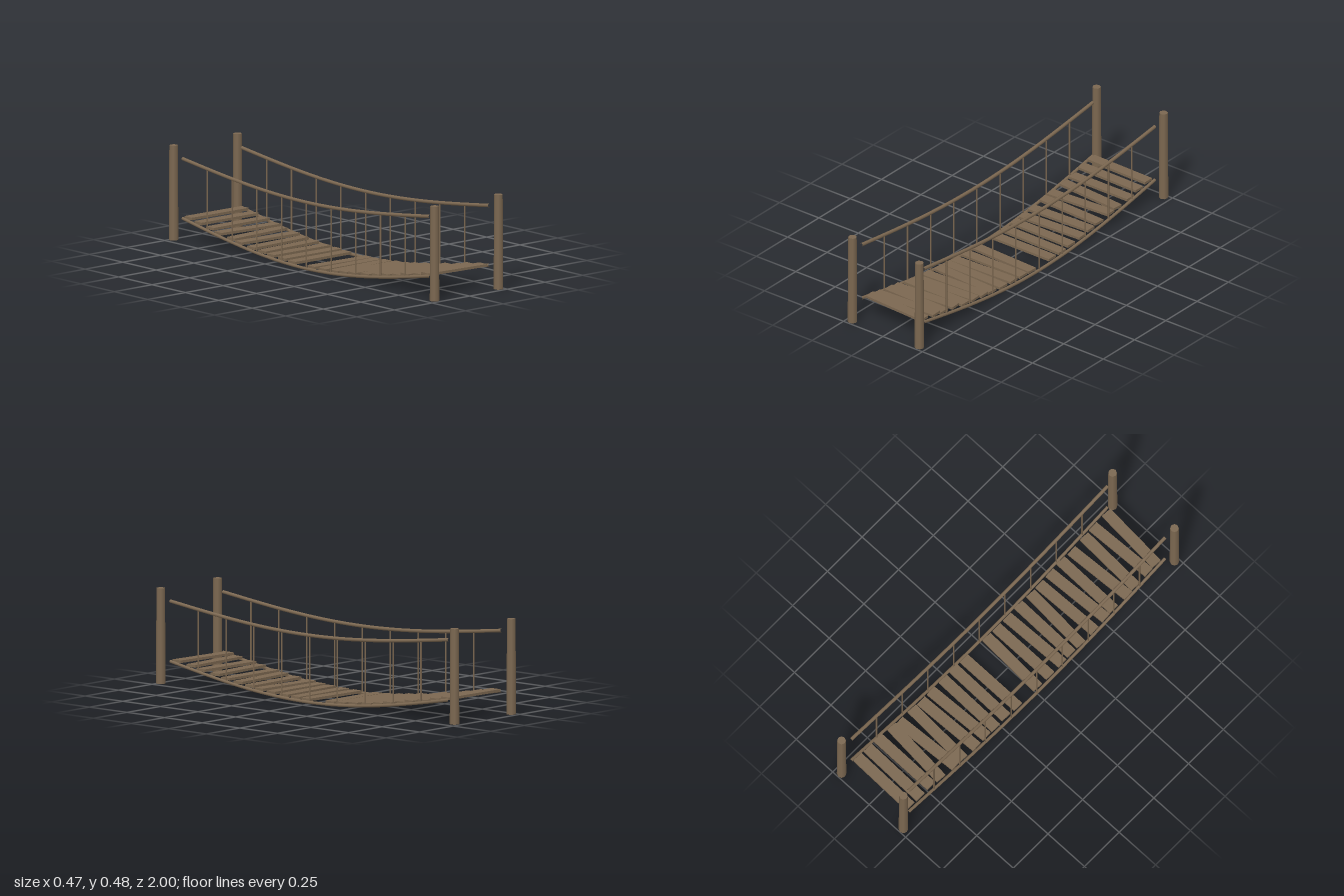
import * as THREE from 'three';

const SPAN = 0.925; // half length of the ropes
const ROPE_X = 0.197;
const wood = new THREE.MeshStandardMaterial({ color: 0x7b6750 });
wood.name = 'weathered brown wood';

// Height of a sagging rope at z
const sag = (z, low, drop) => low + drop * (1 - Math.cos((z / SPAN) * Math.PI / 2));
const deckY = (z) => sag(z, 0.008, 0.109);
const railY = (z) => sag(z, 0.345, 0.075);

function add(parent, name, geometry, x, y, z) {
  const mesh = new THREE.Mesh(geometry, wood);
  mesh.name = name;
  mesh.position.set(x, y, z);
  parent.add(mesh);
  return mesh;
}

function ropeGeometry(height, radius) {
  const points = [];
  for (let i = 0; i <= 20; i++) {
    const z = -SPAN + (2 * SPAN * i) / 20;
    points.push(new THREE.Vector3(0, height(z), z));
  }
  return new THREE.TubeGeometry(new THREE.CatmullRomCurve3(points), 40, radius, 8, false);
}

// Plank centre z, sideways skew (z gained across the width), x offset
const PLANKS = [
  [-0.894, 0.008, 0], [-0.82, 0.008, 0], [-0.74, 0.002, 0.006], [-0.66, 0.03, 0],
  [-0.585, -0.023, -0.004], [-0.51, 0.018, -0.002], [-0.43, -0.014, -0.004], [-0.355, -0.017, 0],
  [-0.278, 0.006, 0], [-0.2, 0.006, 0.004], [-0.122, 0, 0], [0.03, 0.018, 0],
  [0.108, 0, -0.002], [0.19, -0.012, -0.002], [0.265, 0.006, 0], [0.34, 0.023, -0.004],
  [0.42, -0.011, -0.004], [0.5, -0.02, -0.002], [0.57, 0.005, 0], [0.655, -0.022, -0.006],
  [0.73, 0.016, -0.003], [0.81, -0.016, -0.002], [0.885, 0.025, -0.003],
];

export function createModel() {
  const bridge = new THREE.Group();
  bridge.name = 'ropeBridge';

  // Tapered corner posts
  const posts = new THREE.Group();
  posts.name = 'posts';
  const postGeometry = new THREE.CylinderGeometry(0.0215, 0.024, 0.48, 8);
  for (const x of [-0.212, 0.212])
    for (const z of [-0.976, 0.976]) add(posts, 'post', postGeometry, x, 0.243, z);

  // Deck ropes, hand ropes and the hangers between them
  const ropes = new THREE.Group();
  ropes.name = 'ropes';
  const deckRope = ropeGeometry(deckY, 0.008);
  const handRope = ropeGeometry(railY, 0.009);
  for (const x of [-ROPE_X, ROPE_X]) {
    add(ropes, 'deckRope', deckRope, x, 0, 0);
    add(ropes, 'handRope', handRope, x, 0, 0);
    for (let i = -4; i <= 4; i++) {
      const z = i * 0.185;
      const length = railY(z) - deckY(z);
      const hanger = new THREE.CylinderGeometry(0.004, 0.004, length, 6);
      add(ropes, 'hanger', hanger, x, deckY(z) + length / 2, z);
    }
  }

  // Uneven planks, with one missing in the middle
  const deck = new THREE.Group();
  deck.name = 'deck';
  const plankGeometry = new THREE.BoxGeometry(0.37, 0.013, 0.057);
  for (const [z, skew, x] of PLANKS) {
    const plank = add(deck, 'plank', plankGeometry, x, deckY(z) + 0.009, z);
    plank.rotation.y = -Math.atan(skew / 0.37);
  }

  bridge.add(posts, ropes, deck);
  return bridge;
}
